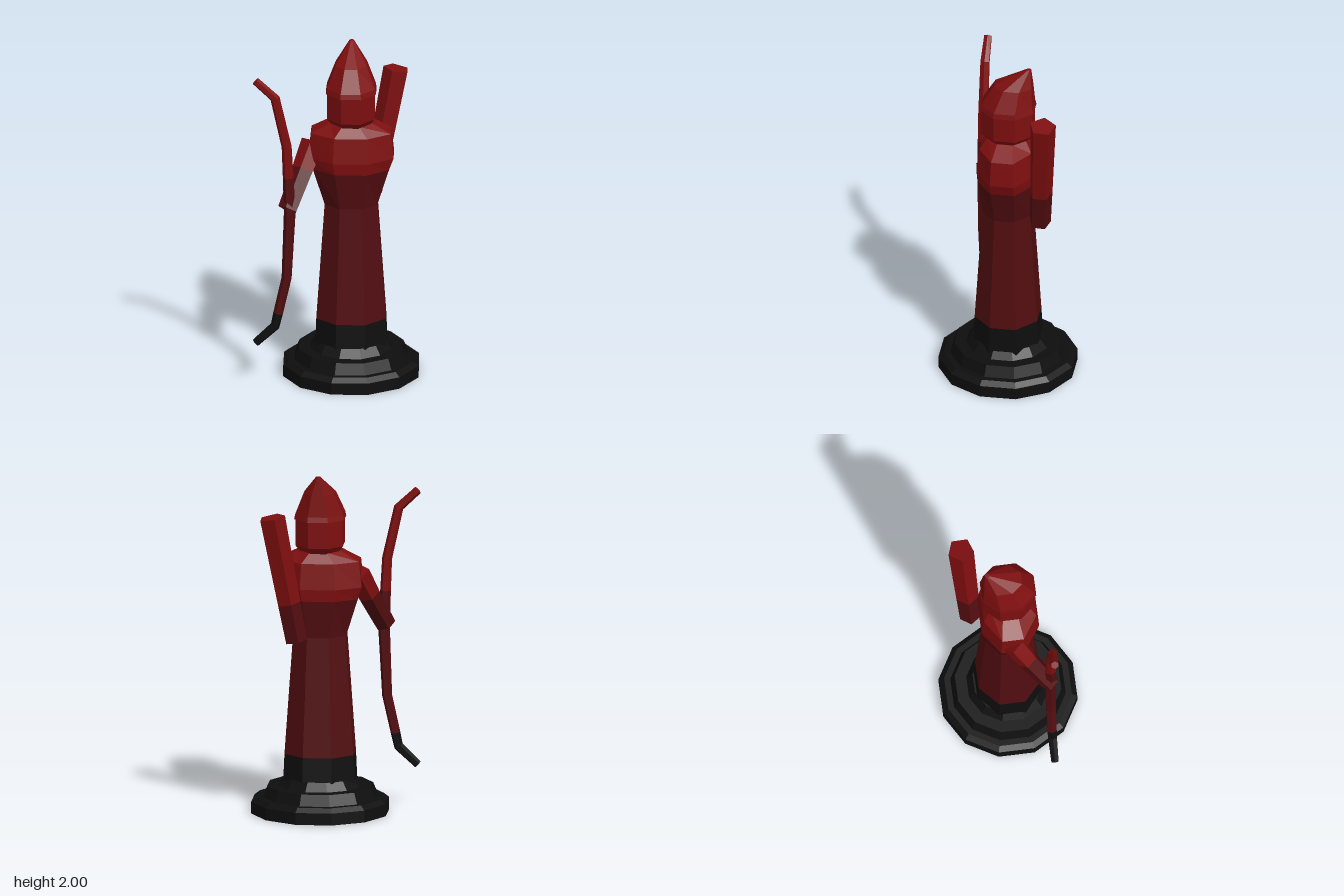
import * as THREE from 'three';

const mat = (name, color) => {
  const m = new THREE.MeshStandardMaterial({ color, flatShading: true });
  m.name = name;
  return m;
};

export function createModel() {
  const BLACK = 0, DARK = 1, RED = 2;
  const materials = [mat('black', 0x0e0e0e), mat('dark red', 0x520d10), mat('red', 0x7e0e0f)];
  const model = new THREE.Group();
  model.name = 'archerPiece';

  // Faceted solid through rings [x, y, z, rx, rz, colour of the band above].
  // flat: sizes are measured across flats, with a flat side facing front.
  // along: rings stand square to the path instead of lying level.
  function loft(name, sides, rings, { flat = true, along = false, turn = 0 } = {}) {
    const grow = flat ? 1 / Math.cos(Math.PI / sides) : 1;
    const up = new THREE.Vector3(0, 1, 0);
    const centres = rings.map(([x, y, z]) => new THREE.Vector3(x, y, z));
    const loops = rings.map(([, , , rx, rz], k) => {
      const before = centres[Math.max(k - 1, 0)];
      const after = centres[Math.min(k + 1, rings.length - 1)];
      const q = new THREE.Quaternion();
      if (along) q.setFromUnitVectors(up, after.clone().sub(before).normalize());
      return Array.from({ length: sides }, (_, i) => {
        const a = ((i + (flat ? 0.5 : 0)) / sides) * Math.PI * 2 + turn;
        return new THREE.Vector3(Math.cos(a) * rx * grow, 0, Math.sin(a) * rz * grow)
          .applyQuaternion(q).add(centres[k]);
      });
    });
    const points = [];
    const geometry = new THREE.BufferGeometry();
    const band = (colour, build) => {
      const start = points.length;
      for (let i = 0; i < sides; i++) points.push(...build(i, (i + 1) % sides));
      geometry.addGroup(start, points.length - start, colour);
    };
    const last = rings.length - 1;
    band(rings[0][5], (i, j) => [centres[0], loops[0][i], loops[0][j]]);
    for (let k = 0; k < last; k++) {
      const a = loops[k], b = loops[k + 1];
      band(rings[k][5], (i, j) => [a[i], b[i], b[j], a[i], b[j], a[j]]);
    }
    band(rings[last - 1][5], (i, j) => [centres[last], loops[last][j], loops[last][i]]);
    geometry.setFromPoints(points);
    geometry.computeVertexNormals();
    const mesh = new THREE.Mesh(geometry, materials);
    mesh.name = name;
    model.add(mesh);
  }

  const X = 0.085; // axis of the figure

  // Stepped twelve-sided foot
  loft('base', 12, [
    [0, 0.39], [0.07, 0.39], [0.095, 0.36], [0.095, 0.325],
    [0.16, 0.3], [0.16, 0.235], [0.21, 0.2],
  ].map(([y, r]) => [X, y, 0, r, r, BLACK]));

  // Robe, chest and sloping shoulders
  loft('robe', 8, [
    [X, 0.16, 0, 0.208, 0.192, BLACK],
    [X, 0.35, 0, 0.2, 0.182, DARK],
    [X, 1.05, 0, 0.152, 0.14, DARK],
    [X, 1.27, 0, 0.22, 0.164, RED],
    [X, 1.34, 0, 0.246, 0.168, RED],
    [X, 1.49, 0, 0.231, 0.152, RED],
    [X, 1.55, 0, 0.12, 0.11, RED],
  ]);

  // Head with a narrowed neck
  loft('head', 8, [
    [X, 1.53, 0, 0.105, 0.105, RED],
    [X, 1.58, 0, 0.137, 0.15, RED],
    [X, 1.75, 0, 0.137, 0.15, RED],
  ]);

  // Hood, its point swept to the back
  loft('hood', 8, [
    [X, 1.735, 0, 0.145, 0.157, RED],
    [X, 1.765, 0, 0.139, 0.15, RED],
    [X, 1.89, -0.032, 0.09, 0.11, RED],
    [X, 2, -0.122, 0.012, 0.013, RED],
  ]);

  // Five-sided quiver leaning outwards behind the shoulder
  loft('quiver', 5, [
    [0.205, 1.045, -0.205, 0.066, 0.064, DARK],
    [0.247, 1.27, -0.217, 0.07, 0.068, RED],
    [0.342, 1.78, -0.242, 0.078, 0.078, RED],
  ], { flat: false, along: true, turn: Math.PI });

  // Arm reaching forward to the bow
  loft('arm', 5, [
    [-0.275, 1.07, 0.2, 0.06, 0.055, DARK],
    [-0.19, 1.27, 0.078, 0.066, 0.062, RED],
    [-0.13, 1.41, 0, 0.075, 0.068, RED],
  ], { flat: false, along: true, turn: Math.PI });

  // Six-sided bow, bent alike above and below the grip
  loft('bow', 6, [
    [-0.462, 0.245, 0.202, 0.024, 0.024, BLACK],
    [-0.35, 0.35, 0.202, 0.028, 0.029, BLACK],
    [-0.332, 0.43, 0.202, 0.028, 0.03, DARK],
    [-0.283, 0.65, 0.202, 0.029, 0.031, DARK],
    [-0.265, 1.055, 0.202, 0.034, 0.034, DARK],
    [-0.274, 1.27, 0.202, 0.031, 0.033, RED],
    [-0.283, 1.46, 0.202, 0.029, 0.031, RED],
    [-0.35, 1.76, 0.202, 0.028, 0.029, RED],
    [-0.462, 1.865, 0.202, 0.024, 0.024, RED],
  ], { flat: false, along: true });

  return model;
}
